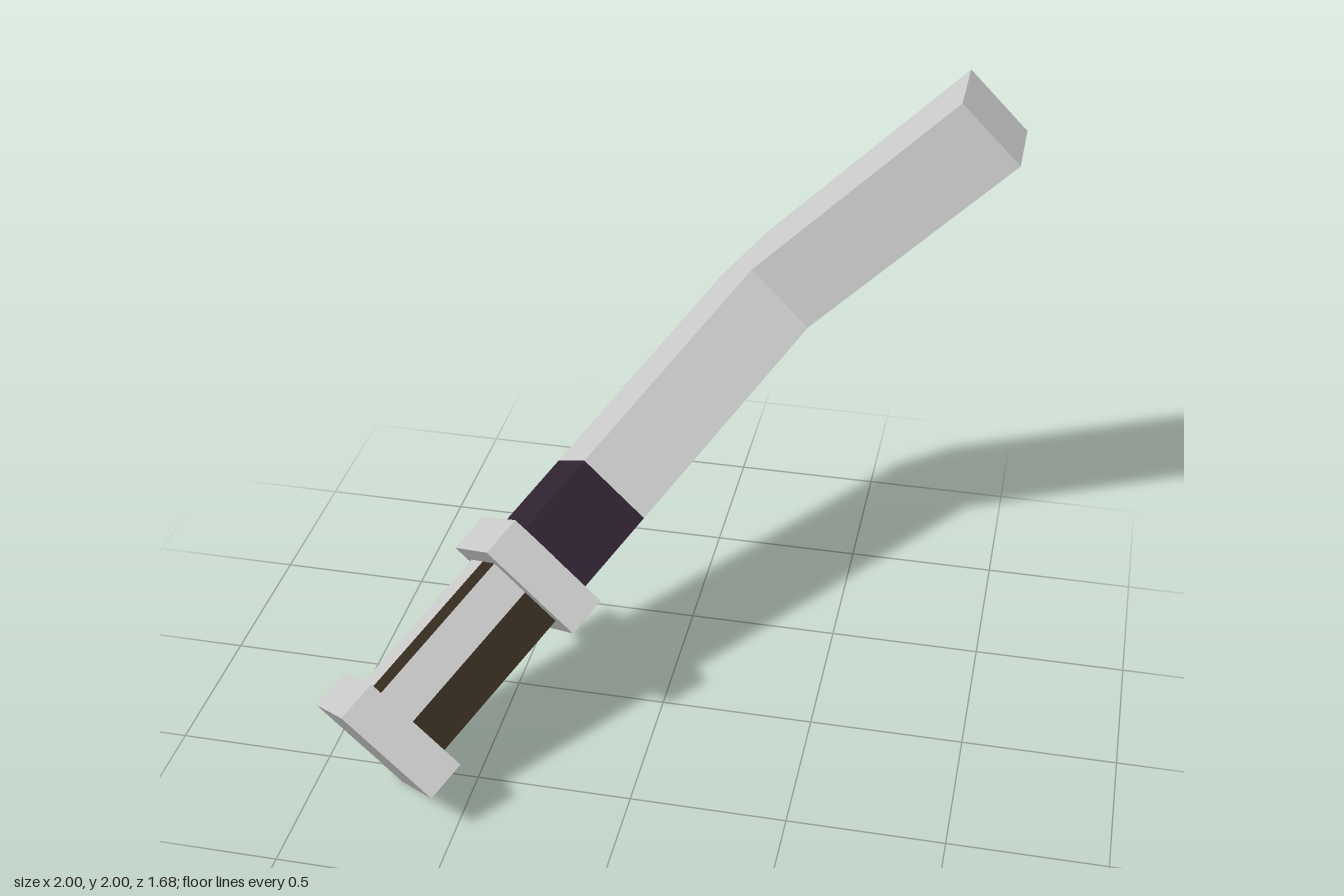
import * as THREE from 'three';

const steel = new THREE.MeshStandardMaterial({ name: 'lightGrey', color: 0xd4d4d4 });
const purple = new THREE.MeshStandardMaterial({ name: 'darkPurple', color: 0x322434 });
const brown = new THREE.MeshStandardMaterial({ name: 'darkBrown', color: 0x382d20 });

const WIDTH = 0.27; // square section of grip, collar and bar
const HALF = WIDTH / 2;

// Square block on the long axis, from y0 to y1
function block(name, size, y0, y1, material) {
  const mesh = new THREE.Mesh(new THREE.BoxGeometry(size, y1 - y0, size), material);
  mesh.position.y = (y0 + y1) / 2;
  mesh.name = name;
  return mesh;
}

// Grip: each of its four sides is half grey, half brown
function makeGrip(y0, y1) {
  const grip = new THREE.Group();
  grip.name = 'grip';
  for (let i = 0; i < 4; i++) {
    [steel, brown].forEach((material, k) => {
      const geometry = new THREE.PlaneGeometry(HALF, y1 - y0);
      geometry.translate((k - 0.5) * HALF, (y0 + y1) / 2, HALF);
      geometry.rotateY(i * Math.PI / 2);
      const mesh = new THREE.Mesh(geometry, material);
      mesh.name = k ? 'gripBrownStripe' : 'gripGreyStripe';
      grip.add(mesh);
    });
  }
  return grip;
}

// Bar with a 45 degree bend and a chamfered outer corner
function makeBar(y0, bendY, upperLength) {
  const s = Math.SQRT1_2;
  const inner = [HALF, bendY];
  const outer = [HALF - WIDTH * s, bendY + WIDTH * s];
  const along = ([x, y]) => [x + upperLength * s, y + upperLength * s];
  const profile = [
    [-HALF, y0], [HALF, y0], inner, along(inner),
    along(outer), outer, [-HALF, bendY],
  ].map(([x, y]) => new THREE.Vector2(x, y));
  const geometry = new THREE.ExtrudeGeometry(new THREE.Shape(profile), { depth: WIDTH, bevelEnabled: false });
  geometry.translate(0, 0, -HALF);
  geometry.rotateY(-Math.PI / 2);
  const mesh = new THREE.Mesh(geometry, steel);
  mesh.name = 'bentBar';
  return mesh;
}

export function createModel() {
  const model = new THREE.Group();
  model.name = 'bentStaff';

  // Tilted frame: y runs along the handle
  const tilted = new THREE.Group();
  tilted.name = 'tiltedStaff';
  const side = new THREE.Vector3(1, -1, 0).normalize();
  const axis = new THREE.Vector3(0.5, 0.5, -Math.SQRT1_2);
  const face = new THREE.Vector3().crossVectors(side, axis);
  tilted.quaternion.setFromRotationMatrix(new THREE.Matrix4().makeBasis(side, axis, face));
  tilted.position.addScaledVector(side, -0.71).addScaledVector(face, 0.23);

  tilted.add(
    block('pommel', 0.377, -0.767, -0.632, steel),
    makeGrip(-0.632, 0.045),
    block('guard', 0.377, -0.1, 0.035, steel),
    block('collar', WIDTH, 0.045, 0.333, purple),
    makeBar(0.333, 1.17, 0.9),
  );
  model.add(tilted);
  return model;
}
